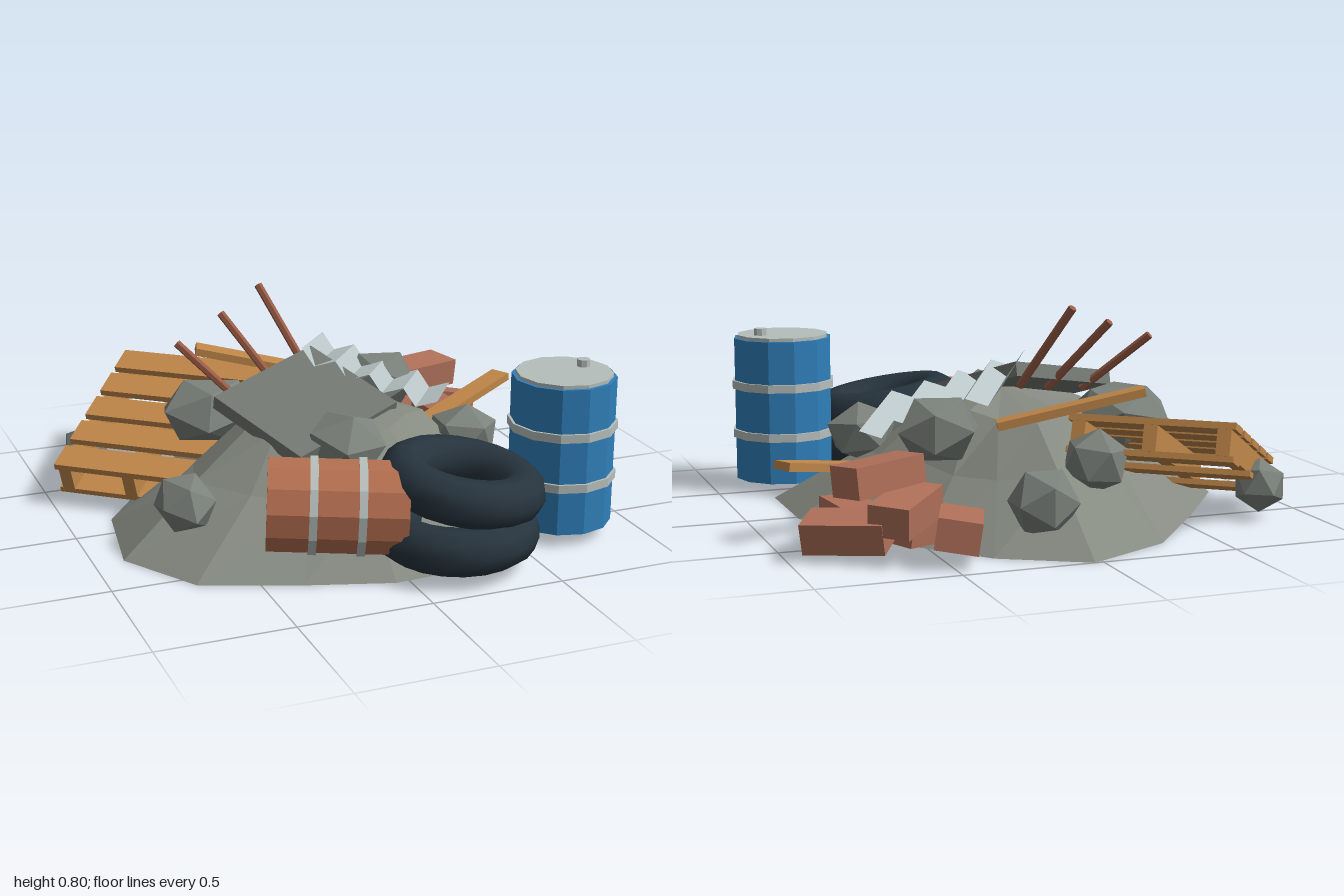
import * as THREE from 'three';

const mat = (color, extra = {}) => new THREE.MeshStandardMaterial({ color, flatShading: true, ...extra });
const V = (x, y, z) => new THREE.Vector3(x, y, z);

const M = {
  mound: mat(0x868b82, { side: THREE.DoubleSide }),
  slab: mat(0x727871),
  rock: mat(0x7b817b),
  wood: mat(0xc0874a),
  brick: mat(0xb0705a),
  rebar: mat(0x9a5c46),
  blue: mat(0x2f7fba),
  rust: mat(0xb26e50),
  steel: mat(0xb6bebb),
  sheet: mat(0xbcc8ca, { side: THREE.DoubleSide }),
  rubber: mat(0x27343e, { flatShading: false }),
};

export function createModel() {
  const root = new THREE.Group();

  const add = (name, geo, material, parent = root, pos = [0, 0, 0], rot = [0, 0, 0]) => {
    const m = new THREE.Mesh(geo, material);
    m.name = name;
    m.position.set(...pos);
    m.rotation.set(...rot, 'YXZ');
    parent.add(m);
    return m;
  };

  // Orients an object by its own x and z directions
  const orient = (obj, xDir, zDir) => {
    const x = xDir.clone().normalize();
    const y = zDir.clone().cross(x).normalize();
    const z = x.clone().cross(y);
    obj.quaternion.setFromRotationMatrix(new THREE.Matrix4().makeBasis(x, y, z));
  };

  // Box running from point a to point b
  const beam = (name, a, b, w, h, material) => {
    const A = V(...a), B = V(...b);
    const m = add(name, new THREE.BoxGeometry(w, h, A.distanceTo(B)), material);
    m.position.copy(A).add(B).multiplyScalar(0.5);
    m.lookAt(B);
  };

  // Mound: hollow shell of shrinking rings below a peak
  const outline = [[0.03, -1], [0.33, -0.83], [0.52, -0.6], [0.6, -0.3], [0.81, -0.03], [0.81, 0.36],
    [0.57, 0.59], [0.35, 0.78], [-0.05, 0.8], [-0.36, 0.7], [-0.71, 0.56], [-0.89, 0.26],
    [-0.83, -0.13], [-0.6, -0.45], [-0.3, -0.83]];
  const n = outline.length;
  const rings = [[1, 0], [0.63, 0.21], [0.4, 0.39]];
  const pts = [], idx = [];
  rings.forEach(([s, y], r) => outline.forEach(([x, z], i) => {
    const k = r ? s * (1 + 0.05 * Math.sin(i * 2.3 + r)) : 1;
    pts.push(x * k, r ? y + 0.02 * Math.sin(i * 1.7 + r * 2) : 0, z * k);
  }));
  pts.push(0, 0.46, 0);
  for (let i = 0; i < n; i++) {
    const j = (i + 1) % n;
    for (let r = 0; r < 2; r++) {
      const a = r * n + i, b = r * n + j;
      idx.push(a, a + n, b, b, a + n, b + n);
    }
    idx.push(2 * n + i, 3 * n, 2 * n + j);
  }
  const moundGeo = new THREE.BufferGeometry();
  moundGeo.setAttribute('position', new THREE.Float32BufferAttribute(pts, 3));
  moundGeo.setIndex(idx);
  moundGeo.computeVertexNormals();
  add('mound', moundGeo, M.mound);

  // Concrete slab on the top
  const slab = add('concreteSlab', new THREE.BoxGeometry(0.52, 0.055, 0.46), M.slab, root, [-0.115, 0.44, 0.08]);
  orient(slab, V(0.43, 0.08, -0.19), V(0.28, -0.14, 0.42));

  // Reinforcing bars leaning out of the slab
  [[-0.53, 0.65, -0.2, -0.32, 0.43, -0.03], [-0.32, 0.72, -0.3, -0.15, 0.45, -0.1],
    [-0.13, 0.79, -0.4, 0, 0.48, -0.2]].forEach(([x, y, z, u, v, w]) => {
    const d = V(x - u, y - v, z - w);
    const bar = add('reinforcingBar', new THREE.CylinderGeometry(0.016, 0.016, d.length(), 6), M.rebar,
      root, [(x + u) / 2, (y + v) / 2, (z + w) / 2]);
    bar.quaternion.setFromUnitVectors(V(0, 1, 0), d.normalize());
  });

  // Corrugated metal sheet
  const sheetGeo = new THREE.PlaneGeometry(0.56, 0.48, 8, 1).rotateX(-Math.PI / 2);
  const sp = sheetGeo.attributes.position;
  for (let i = 0; i < sp.count; i++) sp.setY(i, (i % 9) % 2 ? -0.025 : 0.025);
  sheetGeo.computeVertexNormals();
  const sheet = add('corrugatedSheet', sheetGeo, M.sheet, root, [0.275, 0.455, -0.16]);
  orient(sheet, V(0.44, -0.18, 0.3), V(-0.23, -0.08, 0.38).setY(0.07));

  // Loose rocks: centre, then half sizes
  [[0.13, 0.17, -0.78, 0.13, 0.13, 0.125], [-0.13, 0.265, -0.62, 0.125, 0.12, 0.13],
    [-0.8, 0.125, -0.6, 0.1, 0.1, 0.11], [-0.4, 0.36, -0.22, 0.205, 0.13, 0.19],
    [-0.66, 0.2, 0.28, 0.115, 0.11, 0.155], [-0.04, 0.34, 0.29, 0.165, 0.135, 0.175],
    [0.5, 0.275, 0.17, 0.15, 0.12, 0.125], [0.36, 0.36, -0.32, 0.165, 0.135, 0.125],
  ].forEach(([x, y, z, a, b, c], i) => {
    const geo = new THREE.IcosahedronGeometry(1, 0).rotateX(i * 0.9).rotateY(i * 1.3);
    add('rock', geo.scale(a, b, c), M.rock, root, [x, y, z]);
  });

  // Wooden pallet sliding down the left rear slope
  const pallet = new THREE.Group();
  pallet.name = 'pallet';
  pallet.position.set(-0.53, 0.285, -0.435);
  pallet.rotation.set(0.35, -0.69, 0, 'YXZ');
  root.add(pallet);
  for (let i = -2; i <= 2; i++)
    add('palletSlat', new THREE.BoxGeometry(0.61, 0.025, 0.12), M.wood, pallet, [0, 0, i * 0.157]);
  for (let i = -1; i <= 1; i++) {
    add('palletRunner', new THREE.BoxGeometry(0.05, 0.095, 0.745), M.wood, pallet, [i * 0.265, -0.06, 0]);
    add('palletBottomBoard', new THREE.BoxGeometry(0.61, 0.022, 0.11), M.wood, pallet, [0, -0.117, i * 0.315]);
  }

  // Loose planks
  beam('rearPlank', [-0.34, 0.5, -0.57], [0.17, 0.38, -0.42], 0.09, 0.03, M.wood);
  beam('sidePlank', [0.47, 0.2, -0.16], [0.96, 0.285, -0.41], 0.085, 0.03, M.wood);

  // Heap of bricks: centre, then pitch, yaw, roll
  [[0.45, 0.11, -0.82, 0.05, -0.35, 0.15], [0.61, 0.17, -0.73, -0.1, -0.72, 0.05],
    [0.8, 0.1, -0.68, 0.05, 1.0, -0.2], [0.67, 0.27, -0.61, 0.05, 1.95, 0.08],
    [0.73, 0.1, -0.5, 0, 0.1, 0.05], [0.53, 0.09, -0.62, 0.1, -0.9, 0.1],
  ].forEach(([x, y, z, a, b, c]) =>
    add('brick', new THREE.BoxGeometry(0.15, 0.11, 0.29), M.brick, root, [x, y, z], [a, b, c]));

  // Drums, with two hoops each
  const drum = (name, color) => {
    const g = new THREE.Group();
    g.name = name;
    root.add(g);
    add('drumBody', new THREE.CylinderGeometry(0.194, 0.194, 0.56, 12), color, g);
    for (const y of [-0.097, 0.097])
      add('drumHoop', new THREE.CylinderGeometry(0.204, 0.204, 0.032, 12), M.steel, g, [0, y, 0]);
    return g;
  };
  const upright = drum('uprightDrum', M.blue);
  upright.position.set(0.72, 0.327, 0.56);
  add('drumLid', new THREE.CylinderGeometry(0.18, 0.18, 0.02, 12), M.steel, upright, [0, 0.283, 0]);
  add('drumCap', new THREE.CylinderGeometry(0.025, 0.025, 0.03, 8), M.steel, upright, [0.095, 0.305, -0.03]);

  const fallen = drum('fallenDrum', M.rust);
  fallen.scale.setScalar(0.89);
  fallen.position.set(-0.19, 0.23, 0.585);
  fallen.quaternion.setFromUnitVectors(V(0, 1, 0), V(0.94, -0.04, 0.35).normalize());

  // Two stacked tyres, the upper one tilted
  const tyreGeo = new THREE.TorusGeometry(0.217, 0.087, 10, 20).rotateX(Math.PI / 2);
  add('lowerTyre', tyreGeo, M.rubber, root, [0.225, 0.125, 0.697]);
  add('upperTyre', tyreGeo, M.rubber, root, [0.26, 0.295, 0.675], [0.06, 0, -0.15]);

  return root;
}
